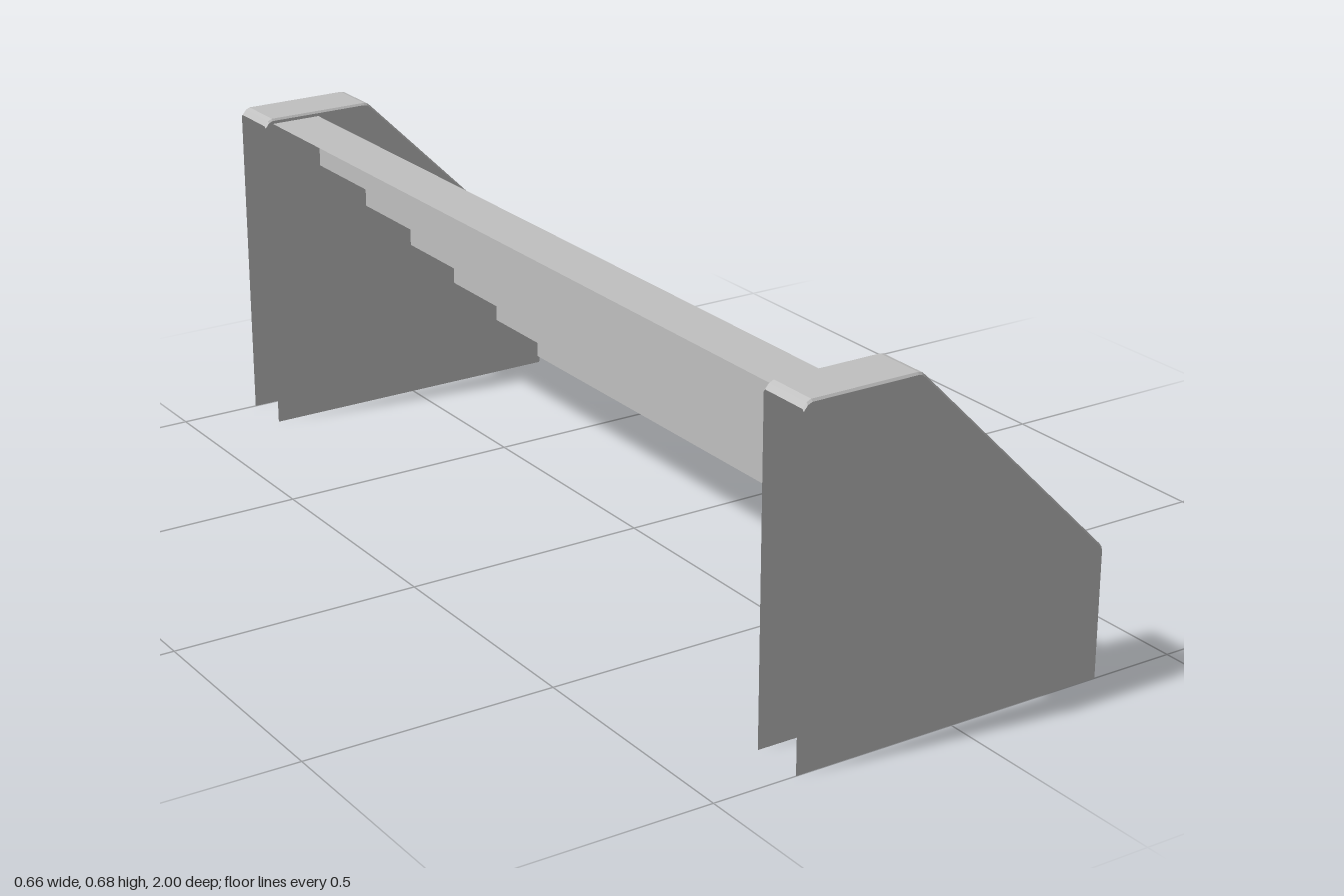
import * as THREE from 'three';

const concrete = new THREE.MeshStandardMaterial({ color: 0xc0c0c0, side: THREE.DoubleSide });
concrete.name = 'grey concrete';

// Flat-shaded skin between successive cross-sections, each an array of [x, y, z]
function skin(sections) {
  const pos = [];
  for (let s = 0; s < sections.length - 1; s++) {
    const p = sections[s], q = sections[s + 1];
    for (let i = 0; i < p.length - 1; i++) {
      pos.push(...p[i], ...p[i + 1], ...q[i + 1], ...p[i], ...q[i + 1], ...q[i]);
    }
  }
  const g = new THREE.BufferGeometry();
  g.setAttribute('position', new THREE.Float32BufferAttribute(pos, 3));
  g.computeVertexNormals();
  return g;
}

function addMesh(parent, geometry, name) {
  const m = new THREE.Mesh(geometry, concrete);
  m.name = name;
  parent.add(m);
  return m;
}

// Side wall outline from the front foot up and over to the back, corners softened
const BACK = -0.332;
const outline = [
  [0.33, 0], [0.33, 0.248], [0.328, 0.256], [0.323, 0.263],
  [-0.084, 0.668], [-0.09, 0.673], [-0.098, 0.675],
  [-0.315, 0.675], [-0.324, 0.671], [BACK, 0.661],
];
const HALF = 0.055;   // half the wall thickness
const BEVEL = 0.004;

// Hollow wall, open at the back and underneath
function makeWall(name, z) {
  const wall = new THREE.Group();
  wall.name = name;
  const k = 0.994;
  const inset = outline.map(([x, y]) => [(x - BACK) * k + BACK, y * k]);
  const at = (pts, d) => pts.map(([x, y]) => [x, y, d]);

  addMesh(wall, skin([
    at(inset, -HALF), at(outline, -HALF + BEVEL),
    at(outline, HALF - BEVEL), at(inset, HALF),
  ]), 'wallRim');

  const shape = new THREE.Shape([...inset, [BACK, 0]].map(([x, y]) => new THREE.Vector2(x, y)));
  addMesh(wall, new THREE.ShapeGeometry(shape), 'wallFrontFace').position.z = HALF;
  const rear = new THREE.ShapeGeometry(shape);
  rear.scale(1, 1, -1);
  // Reverse the corner order so this face looks towards -z
  rear.setIndex(Array.from(rear.index.array).reverse());
  rear.computeVertexNormals();
  addMesh(wall, rear, 'wallRearFace').position.z = -HALF;

  wall.position.z = z;
  return wall;
}

// Folded sheet of six risers and treads
function makeSteps() {
  const rise = 0.1083, run = 0.1063, count = 6;
  const profile = [[0.323, 0.015]];
  for (let i = 0; i < count; i++) {
    const x = 0.323 - i * run, y = 0.015 + (i + 1) * rise;
    profile.push([x, y], [x - run, y]);
  }
  const end = 1 - 2 * HALF;
  return skin([-end, end].map((z) => profile.map(([x, y]) => [x, y, z])));
}

export function createModel() {
  const model = new THREE.Group();
  model.name = 'staircase';
  addMesh(model, makeSteps(), 'steps');
  model.add(makeWall('frontSideWall', 1 - HALF), makeWall('backSideWall', HALF - 1));
  return model;
}
